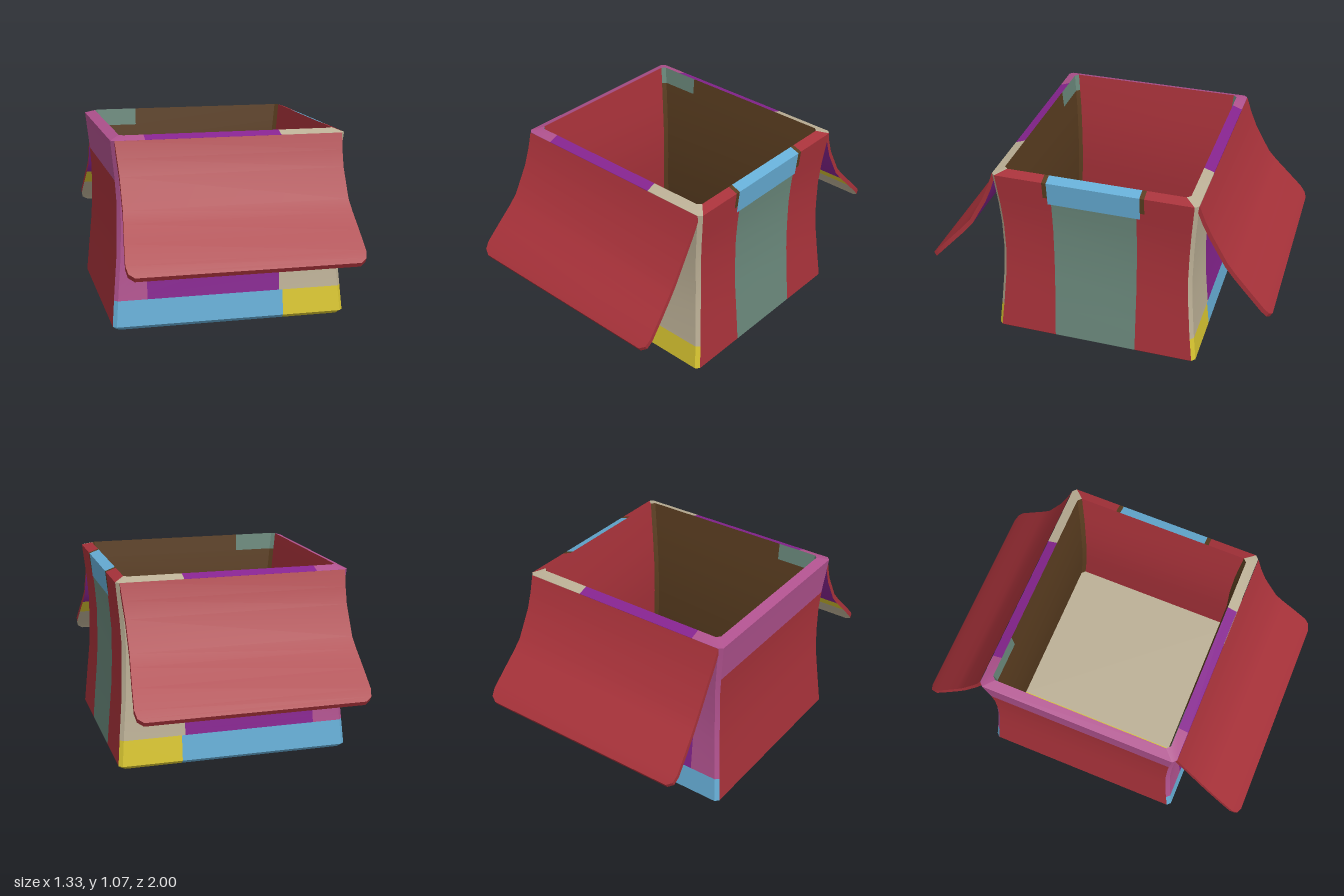
import * as THREE from 'three';
import { toCreasedNormals } from 'three/addons/utils/BufferGeometryUtils.js';

const colours = {
  red: 0xa8323a, blue: 0x66aed6, yellow: 0xd9c631, beige: 0xbcb096,
  teal: 0x6a887b, pink: 0xb0528e, purple: 0x86248f, brown: 0x5a3d20,
};

// Wall cross-sections: [height, half width in x, half depth in z]
const outer = [
  [0, 0.645, 0.575], [0.02, 0.665, 0.595], [0.2, 0.65, 0.575], [0.4, 0.632, 0.557], [0.55, 0.626, 0.55],
  [0.72, 0.625, 0.553], [0.85, 0.634, 0.56], [1.05, 0.655, 0.576], [1.07, 0.6, 0.52],
];
const inner = [
  [0.04, 0.6, 0.535], [0.25, 0.58, 0.512], [0.45, 0.563, 0.496], [0.65, 0.56, 0.493],
  [0.85, 0.573, 0.5], [1.07, 0.6, 0.52],
];
const BEVEL = 0.02;
// Special column codes: the edge before the corner bevel, and the corner itself
const EDGE = 10, CORNER = 20;

// Interpolates a profile at height y
function sizeAt(profile, y) {
  for (let i = 1; i < profile.length; i++) {
    const [y0, x0, z0] = profile[i - 1], [y1, x1, z1] = profile[i];
    if (y <= y1) {
      const t = (y - y0) / (y1 - y0);
      return { hx: x0 + (x1 - x0) * t, hz: z0 + (z1 - z0) * t };
    }
  }
  const last = profile[profile.length - 1];
  return { hx: last[1], hz: last[2] };
}

// Surface through rows of points
function grid(rows, flip) {
  const n = rows[0].length, index = [];
  for (let r = 0; r < rows.length - 1; r++) {
    for (let c = 0; c < n - 1; c++) {
      const a = r * n + c, b = a + 1, d = a + n, e = d + 1;
      index.push(...(flip ? [a, e, b, a, d, e] : [a, b, e, a, e, d]));
    }
  }
  const geo = new THREE.BufferGeometry();
  geo.setAttribute('position', new THREE.Float32BufferAttribute(rows.flat(2), 3));
  geo.setIndex(index);
  return toCreasedNormals(geo, 0.5);
}

export function createModel() {
  const model = new THREE.Group();
  model.name = 'openBox';
  const mats = {};
  for (const [name, color] of Object.entries(colours)) {
    mats[name] = new THREE.MeshStandardMaterial({ color });
    mats[name].name = name;
  }
  const add = (parent, name, mat, geo) => {
    const mesh = new THREE.Mesh(geo, mats[mat]);
    mesh.name = name;
    parent.add(mesh);
  };

  // One coloured area of a wall that follows the curved profile
  function panel(name, mat, axis, side, cols, y0, y1, profile = outer) {
    const ys = [y0, ...profile.map((p) => p[0]).filter((y) => y > y0 + 0.001 && y < y1 - 0.001), y1];
    const rows = ys.map((y) => {
      const { hx, hz } = sizeAt(profile, y);
      const half = axis === 'z' ? hx : hz, depth = axis === 'z' ? hz : hx;
      return cols.map((c) => {
        const code = Math.abs(c), s = Math.sign(c);
        const u = code === CORNER ? s * half : code === EDGE ? s * (half - BEVEL) : c;
        const d = side * (code === CORNER ? depth - BEVEL : depth);
        return axis === 'z' ? [u, y, d] : [d, y, u];
      });
    });
    const flip = (axis === 'z' ? side < 0 : side > 0) !== (profile === inner);
    add(model, name, mat, grid(rows, flip));
  }

  // Front and back walls, outside and inside
  for (const [wall, s] of [['front', 1], ['back', -1]]) {
    panel(wall + 'BlueBase', 'blue', 'z', s, [-CORNER, -EDGE, 0.305], 0, 0.165);
    panel(wall + 'YellowBase', 'yellow', 'z', s, [0.305, EDGE, CORNER], 0, 0.165);
    panel(wall + 'PinkArea', 'pink', 'z', s, [-CORNER, -EDGE, -0.47], 0.165, 1.07);
    panel(wall + 'PurpleArea', 'purple', 'z', s, [-0.47, 0.285], 0.165, 1.07);
    panel(wall + 'BeigeArea', 'beige', 'z', s, [0.285, EDGE, CORNER], 0.165, 1.07);
    panel(wall + 'InnerWall', 'brown', 'z', s, [-CORNER, -EDGE, EDGE, CORNER], 0.04, 0.97, inner);
    panel(wall + 'InnerTop', 'brown', 'z', s, [-0.34, EDGE, CORNER], 0.97, 1.07, inner);
    panel(wall + 'InnerPatch', 'teal', 'z', s, [-CORNER, -EDGE, -0.34], 0.97, 1.07, inner);
  }

  // Left wall with its central stripe and notches
  panel('leftStripe', 'teal', 'x', 1, [-0.24, 0.24], 0, 0.91);
  panel('leftStripeTop', 'blue', 'x', 1, [-0.26, 0.26], 0.91, 1.07);
  for (const s of [1, -1]) {
    const span = (a, b) => (s > 0 ? [a, b] : [-b, -a]);
    panel('leftWall', 'red', 'x', 1, span(0.24, EDGE), 0, 0.91);
    panel('leftWallTop', 'red', 'x', 1, span(0.285, EDGE), 0.91, 1.07);
    panel('leftNotchBase', 'red', 'x', 1, span(0.26, 0.285), 0.91, 0.95);
    panel('leftNotch', 'brown', 'x', 1, span(0.26, 0.285), 0.95, 1.07);
  }
  // Right wall with its top band
  panel('rightWall', 'red', 'x', -1, [-EDGE, EDGE], 0, 0.83);
  panel('rightBand', 'pink', 'x', -1, [-EDGE, EDGE], 0.83, 1.07);
  for (const s of [1, -1]) panel('sideInnerWall', 'red', 'x', s, [-EDGE, EDGE], 0.04, 1.07, inner);

  // Flat pieces of the floor and underside
  function plate(name, mat, x0, x1, z0, z1, y, up) {
    add(model, name, mat, grid([[[x0, y, z0], [x1, y, z0]], [[x0, y, z1], [x1, y, z1]]], up));
  }
  plate('floorYellow', 'yellow', -0.6, -0.33, -0.535, 0.535, 0.04, true);
  plate('floorBeige', 'beige', -0.33, 0.6, -0.535, 0.535, 0.04, true);
  plate('undersideEdge', 'blue', 0.59, 0.645, -0.575, 0.575, 0, false);
  plate('underside', 'teal', -0.03, 0.59, -0.575, 0.575, 0, false);
  plate('undersidePinkBack', 'pink', -0.645, -0.03, -0.575, -0.25, 0, false);
  plate('undersidePurple', 'purple', -0.36, -0.03, -0.25, 0.2, 0, false);
  plate('undersidePinkSide', 'pink', -0.645, -0.36, -0.25, 0.2, 0, false);
  plate('undersidePinkFront', 'pink', -0.645, -0.03, 0.2, 0.575, 0, false);

  // Curved flaps: [z, y, half width] from hinge to tip
  const path = [
    [0.578, 1.05, 0.635], [0.61, 0.96, 0.628], [0.65, 0.87, 0.622], [0.74, 0.71, 0.622], [0.79, 0.65, 0.628],
    [0.87, 0.565, 0.638], [0.955, 0.475, 0.647], [0.985, 0.44, 0.638], [1, 0.42, 0.605],
  ];
  const top = ([z, y, w], s) => [s * w, y, z];
  const under = ([z, y, w], s) => [s * w, y - (y > 1 ? 0.01 : 0.024), z - (y > 1 ? 0.02 : 0.014)];
  for (const [name, turn] of [['frontFlap', 0], ['backFlap', Math.PI]]) {
    const flap = new THREE.Group();
    flap.name = name;
    flap.rotation.y = turn;
    const shell = path.map((p) => [under(p, -1), top(p, -1), top(p, 1), under(p, 1)]);
    add(flap, name + 'Outside', 'red', grid(shell, true));
    const tip = path[path.length - 1];
    add(flap, name + 'Tip', 'red', grid([[under(tip, -1), under(tip, 1)], [top(tip, -1), top(tip, 1)]], false));
    for (const [mat, a, b] of [['purple', 0, 4], ['yellow', 4, 5], ['beige', 5, 8]]) {
      const rows = path.slice(a, b + 1).map((p) => [under(p, -1), under(p, 1)]);
      add(flap, name + 'Inside', mat, grid(rows, false));
    }
    model.add(flap);
  }
  return model;
}
